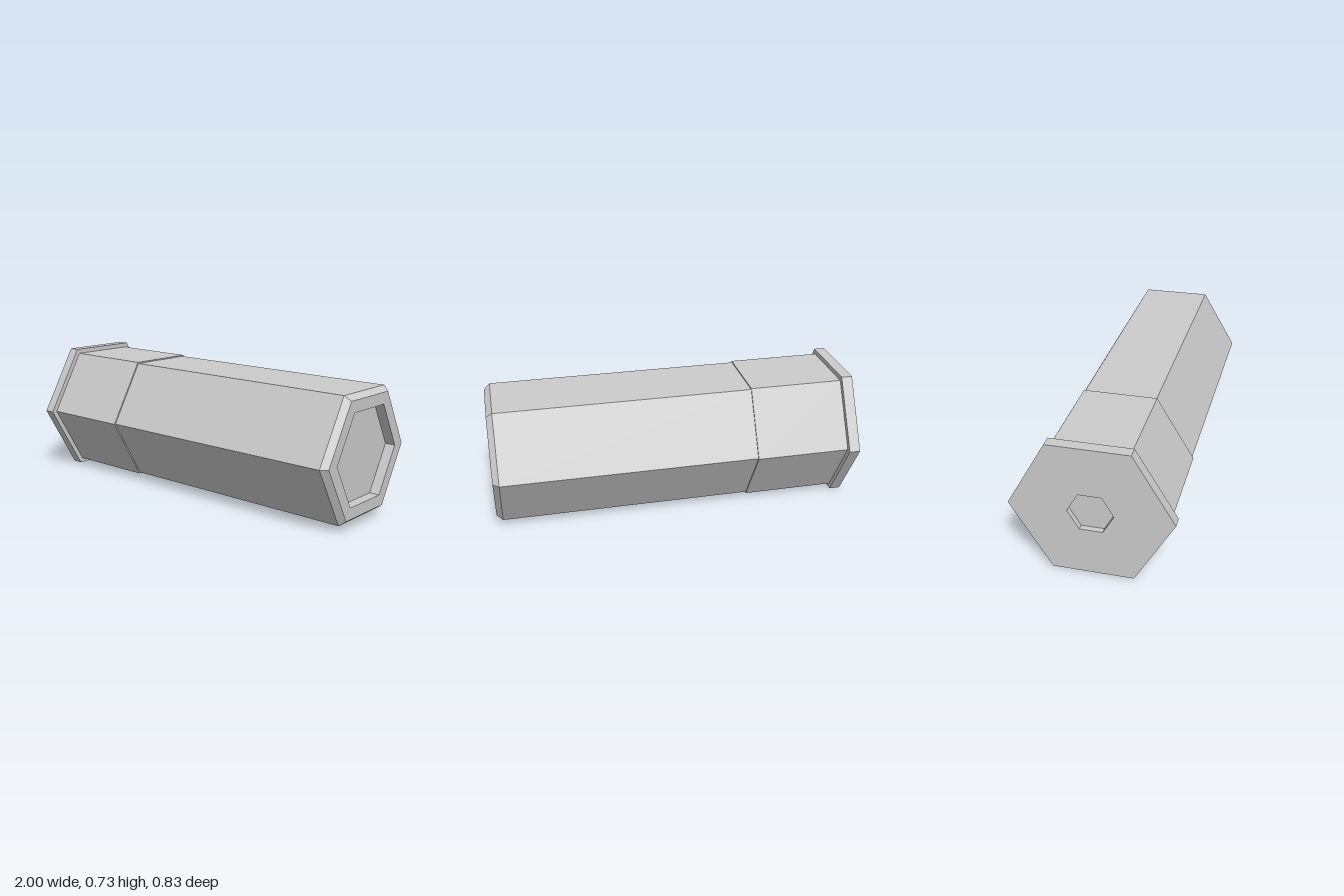
import * as THREE from 'three';

const TILT = 0.0108;   // slight roll of the hexagon about its long axis
const CENTRE_Y = 0.364;

// Six-sided turned part along x; profile is [radius, x] from the -x end to the +x end
function hexPart(name, profile) {
  const points = profile.map(([r, x]) => new THREE.Vector2(r, x));
  const geometry = new THREE.LatheGeometry(points, 6, -TILT).rotateZ(-Math.PI / 2).toNonIndexed();
  geometry.computeVertexNormals();
  const mesh = new THREE.Mesh(geometry, new THREE.MeshStandardMaterial({ color: 0xcccccc, flatShading: true }));
  mesh.name = name;
  return mesh;
}

export function createModel() {
  const group = new THREE.Group();
  group.name = 'hexCartridge';

  group.add(
    // Recessed pocket in the base
    hexPart('primerPocket', [[0, -0.97], [0.117, -0.97], [0.117, -1]]),
    // Wide flange at the base
    hexPart('baseRim', [[0.117, -1], [0.417, -1], [0.417, -0.94], [0.387, -0.94]]),
    // Slightly wider sleeve, stepping down to the body
    hexPart('sleeve', [[0.387, -0.94], [0.387, -0.425], [0.379, -0.425]]),
    // Long body with a chamfered front edge
    hexPart('body', [[0.379, -0.425], [0.379, 0.967], [0.349, 1], [0.277, 1]]),
    // Shallow recess in the front face
    hexPart('frontRecess', [[0.277, 1], [0.277, 0.945], [0, 0.945]]),
  );

  group.children.forEach((part) => { part.position.y = CENTRE_Y; });
  return group;
}
